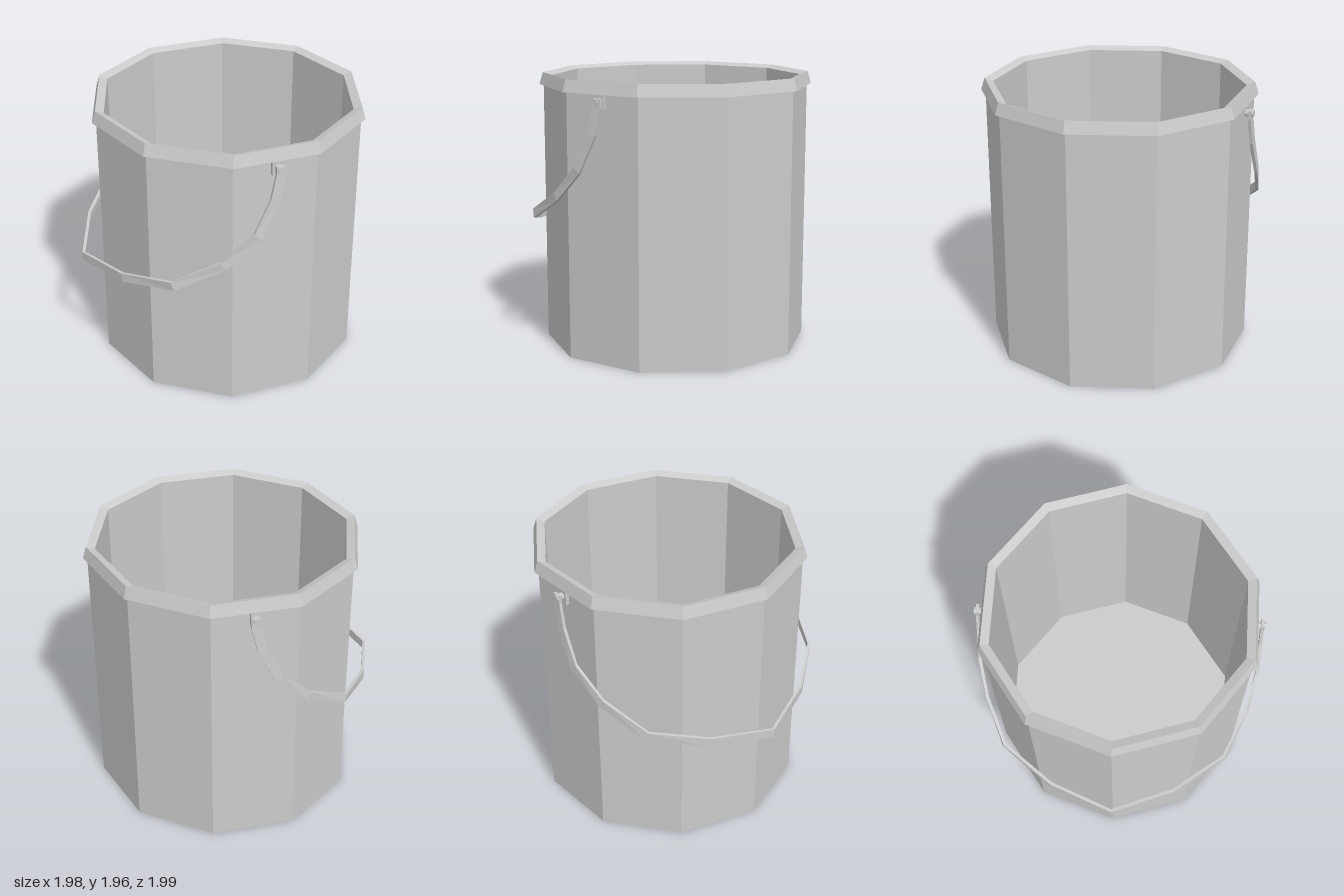
import * as THREE from 'three';

const CX = 0.06, CZ = -0.015, SIDES = 10;
const mat = new THREE.MeshStandardMaterial({ color: 0xcccccc, flatShading: true });

function add(parent, name, geometry) {
  const mesh = new THREE.Mesh(geometry, mat);
  mesh.name = name;
  parent.add(mesh);
  return mesh;
}

// Ten-sided solid of revolution from [radius, height] pairs
function lathe(pairs) {
  return new THREE.LatheGeometry(pairs.map(([r, y]) => new THREE.Vector2(r, y)), SIDES);
}

// Flat strap swept along points; its thin side always faces outward from the bucket axis
function strapGeometry(points, width, thickness) {
  const pos = [], index = [];
  points.forEach((p, i) => {
    const a = points[Math.max(i - 1, 0)], b = points[Math.min(i + 1, points.length - 1)];
    const tangent = b.clone().sub(a).normalize();
    const out = new THREE.Vector3(p.x, 0, p.z);
    out.addScaledVector(tangent, -out.dot(tangent)).normalize();
    const side = tangent.clone().cross(out);
    for (const [u, v] of [[-1, -1], [1, -1], [1, 1], [-1, 1]]) {
      const c = p.clone().addScaledVector(side, u * width / 2).addScaledVector(out, v * thickness / 2);
      pos.push(c.x, c.y, c.z);
    }
  });
  for (let i = 0; i < points.length - 1; i++) {
    for (let k = 0; k < 4; k++) {
      const a = i * 4 + k, b = i * 4 + (k + 1) % 4;
      index.push(a, a + 4, b, b, a + 4, b + 4);
    }
  }
  const e = (points.length - 1) * 4;
  index.push(0, 1, 2, 0, 2, 3, e, e + 2, e + 1, e, e + 3, e + 2);
  // side, out and tangent form a left- or right-handed set; orient faces outward
  const a = new THREE.Vector3(), b = new THREE.Vector3(), c = new THREE.Vector3();
  let volume = 0;
  for (let i = 0; i < index.length; i += 3) {
    a.fromArray(pos, index[i] * 3);
    b.fromArray(pos, index[i + 1] * 3);
    c.fromArray(pos, index[i + 2] * 3);
    volume += a.dot(b.cross(c));
  }
  if (volume < 0) index.reverse();
  const g = new THREE.BufferGeometry();
  g.setAttribute('position', new THREE.Float32BufferAttribute(pos, 3));
  g.setIndex(index);
  const flat = g.toNonIndexed();
  flat.computeVertexNormals();
  return flat;
}

export function createModel() {
  const model = new THREE.Group();
  model.name = 'bucket';
  const bucket = new THREE.Group();
  bucket.name = 'bucketAssembly';
  bucket.position.set(CX, 0, CZ);
  model.add(bucket);

  // Hollow body with floor
  add(bucket, 'body', lathe([[0, 0], [0.95, 0], [0.95, 1.9], [0.894, 1.9], [0.894, 0.04], [0, 0.04]]));

  // Flared rim, its top sloping inward
  add(bucket, 'rim', lathe([[0.894, 1.87], [0.98, 1.87], [0.954, 1.955], [0.894, 1.933], [0.894, 1.87]]));

  // Handle set, turned so its pivots sit in the middle of two opposite faces
  const handle = new THREE.Group();
  handle.name = 'handleAssembly';
  handle.rotation.y = Math.PI / SIDES;
  bucket.add(handle);

  // Half of the bail from the front pivot to its middle, mirrored to the back
  const half = [
    [0.01, 1.85, 0.962], [0.01, 1.79, 0.964], [-0.03, 1.61, 0.973], [-0.15, 1.36, 0.981],
    [-0.37, 1.15, 0.932], [-0.68, 0.975, 0.794], [-0.93, 0.885, 0.446],
  ].map(p => new THREE.Vector3(...p));
  const back = half.map(p => new THREE.Vector3(p.x, p.y, -p.z)).reverse();
  add(handle, 'bail', strapGeometry([...half, new THREE.Vector3(-1.095, 0.825, 0), ...back], 0.064, 0.022));

  // Mounting plate and pivot pin on each side
  for (const [side, s] of [['front', 1], ['back', -1]]) {
    add(handle, side + 'MountingPlate', new THREE.BoxGeometry(0.07, 0.1, 0.03))
      .position.set(0, 1.82, s * 0.914);
    const pin = add(handle, side + 'PivotPin', new THREE.CylinderGeometry(0.025, 0.025, 0.07, 8));
    pin.rotation.x = Math.PI / 2;
    pin.position.set(0.005, 1.825, s * 0.95);
  }
  return model;
}
